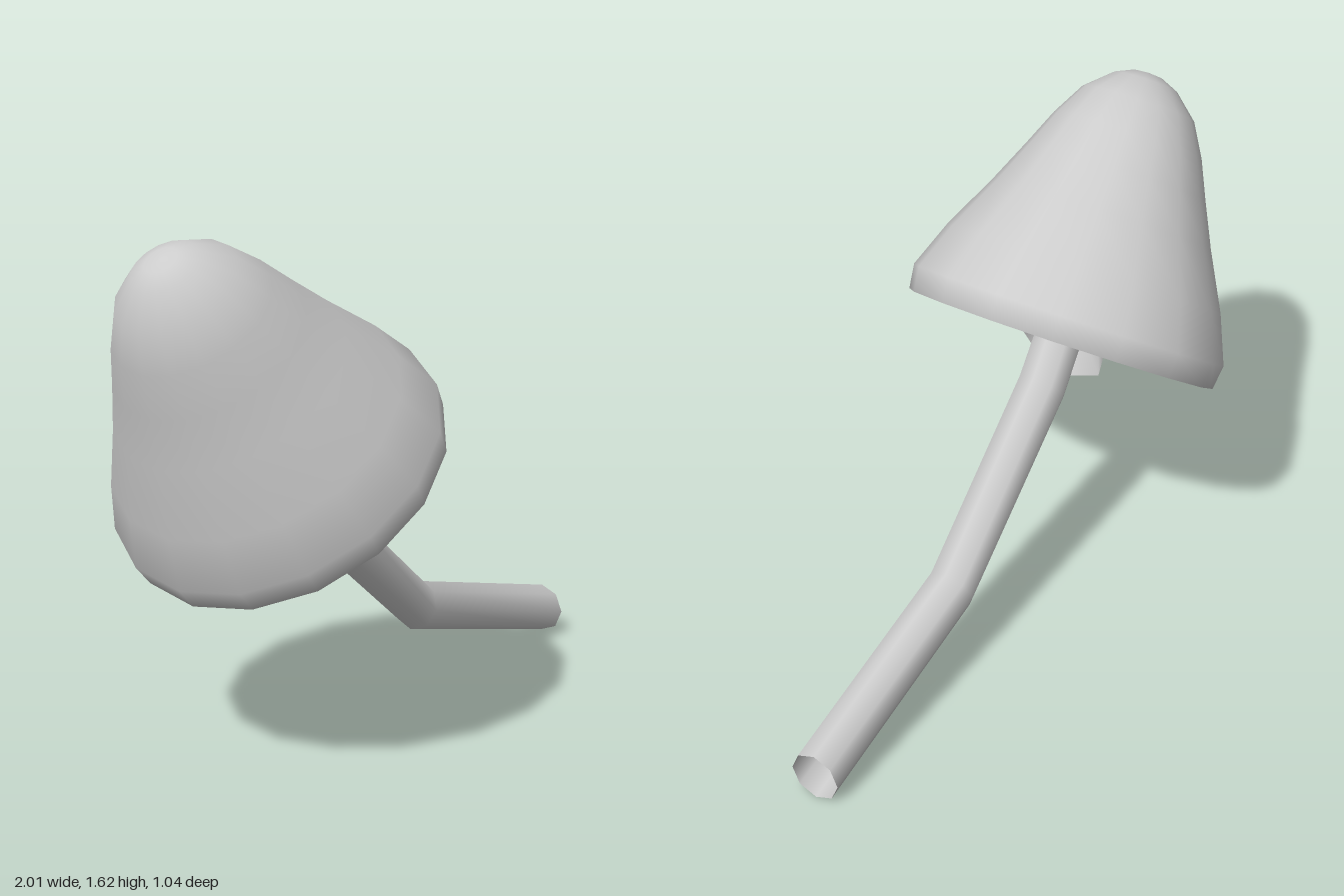
import * as THREE from 'three';

const material = (extra = {}) =>
  new THREE.MeshStandardMaterial({ color: 0xcccccc, side: THREE.DoubleSide, ...extra });

// Skin a tube through rings given by their upper and lower points in the xy plane
function tubeFromRings(rings, sides) {
  const positions = [], index = [];
  rings.forEach(({ top, bottom, width }, r) => {
    for (let i = 0; i < sides; i++) {
      const a = (i / sides) * Math.PI * 2;
      const t = (1 + Math.cos(a)) / 2;
      positions.push(
        THREE.MathUtils.lerp(bottom[0], top[0], t),
        THREE.MathUtils.lerp(bottom[1], top[1], t),
        Math.sin(a) * width
      );
      if (r === 0) continue;
      const j = (i + 1) % sides, p = (r - 1) * sides, q = r * sides;
      index.push(p + i, p + j, q + i, p + j, q + j, q + i);
    }
  });
  const geometry = new THREE.BufferGeometry();
  geometry.setAttribute('position', new THREE.Float32BufferAttribute(positions, 3));
  geometry.setIndex(index);
  geometry.computeVertexNormals();
  return geometry;
}

function lathe(profile, segments) {
  return new THREE.LatheGeometry(profile.map(([x, y]) => new THREE.Vector2(x, y)), segments);
}

function addMesh(parent, name, geometry, mat) {
  const mesh = new THREE.Mesh(geometry, mat);
  mesh.name = name;
  parent.add(mesh);
}

export function createModel() {
  const model = new THREE.Group();
  model.name = 'mushroom';

  // Tilted head: bell-shaped cap with a turned-in lip
  const head = new THREE.Group();
  head.name = 'head';
  head.position.set(-0.395, 0.87, 0);
  head.rotation.z = 0.626;
  model.add(head);

  addMesh(head, 'cap', lathe([
    [0.44, 0.13], [0.45, 0.05], [0.475, 0.01], [0.512, 0], [0.522, 0.08],
    [0.46, 0.235], [0.365, 0.42], [0.3, 0.56], [0.247, 0.68], [0.187, 0.785],
    [0.105, 0.858], [0.05, 0.882], [0, 0.888],
  ], 16), material());

  // Gills: a funnel whose alternate columns are raised into pleats
  const pleats = 90;
  const profile = [[0.06, 0.4], [0.1, 0.34], [0.22, 0.25], [0.35, 0.16], [0.445, 0.06]];
  const gills = lathe(profile, pleats * 2);
  const pos = gills.attributes.position;
  for (let i = 0; i < pos.count; i++) {
    const column = Math.floor(i / profile.length);
    if (column % 2) pos.setY(i, pos.getY(i) + 0.045);
  }
  addMesh(head, 'gills', gills, material({ flatShading: true }));

  // Bent, open-ended stem
  addMesh(model, 'stem', tubeFromRings([
    { top: [1, 0.168], bottom: [1, 0.003], width: 0.083 },
    { top: [0.285, 0.365], bottom: [0.23, 0.215], width: 0.083 },
    { top: [-0.23, 0.81], bottom: [-0.34, 0.69], width: 0.083 },
    { top: [-0.53, 1.22], bottom: [-0.66, 1.12], width: 0.075 },
  ], 8), material());

  // Flared skirt around the upper stem
  addMesh(model, 'skirt', tubeFromRings([
    { top: [-0.33, 1.05], bottom: [-0.47, 0.68], width: 0.16 },
    { top: [-0.47, 1.04], bottom: [-0.53, 0.83], width: 0.095 },
  ], 8), material());

  return model;
}
